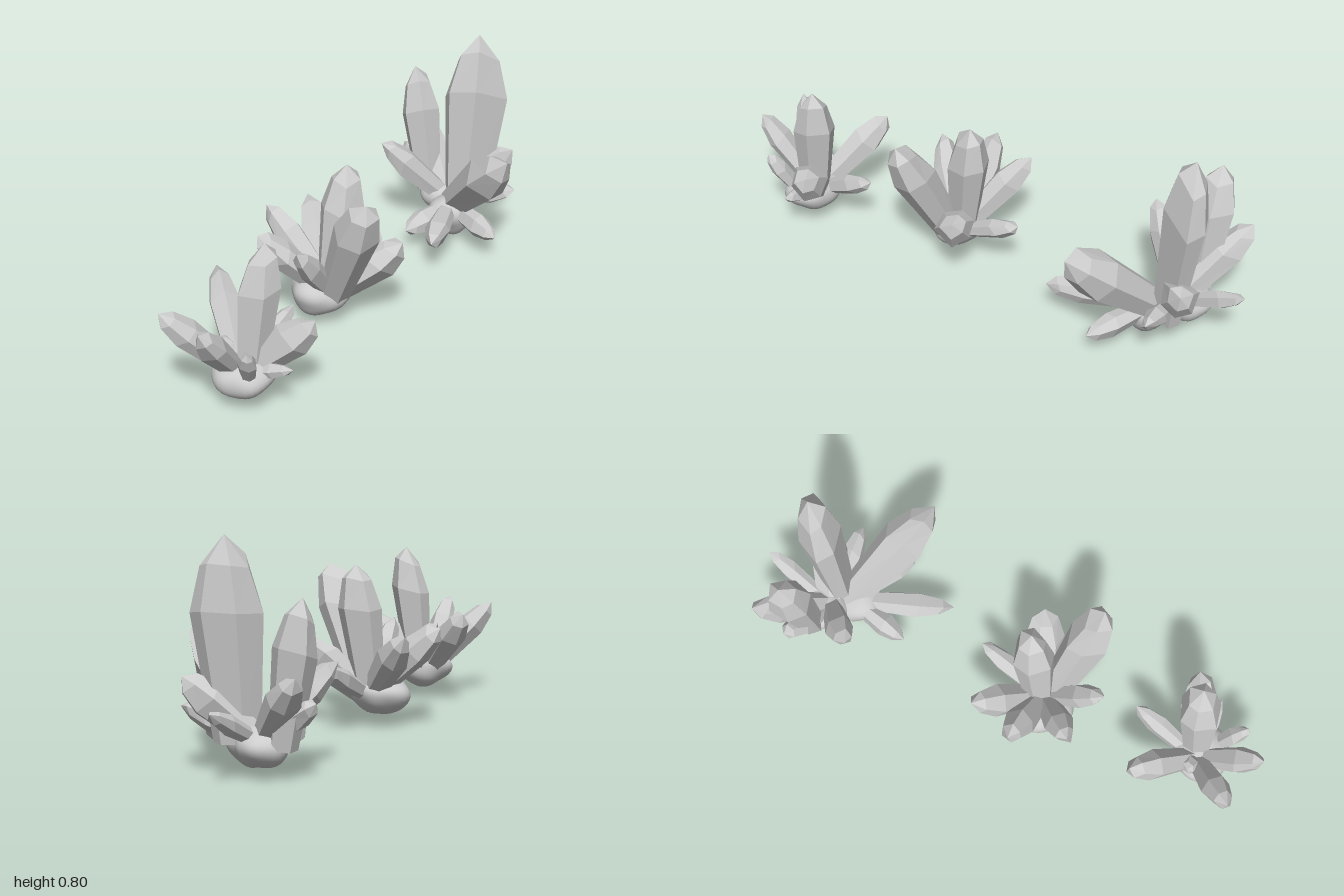
import * as THREE from 'three';

const rockMaterial = new THREE.MeshStandardMaterial({ color: 0xcccccc });
const crystalMaterial = new THREE.MeshStandardMaterial({ color: 0xcccccc, flatShading: true });

// Small seeded generator for facet irregularity
let seed = 7;
const jitter = (amount) => {
  seed = (seed * 16807) % 2147483647;
  return (seed / 2147483647 - 0.5) * 2 * amount;
};

// Six-sided crystal from root to tip: narrow foot, wide shoulder, pointed end
function crystal(root, tip, radius, depth = 1) {
  const axis = tip.clone().sub(root);
  const length = axis.length();
  const heights = [1, 0.88, 0.66, 0]; // top to bottom
  const widths = [0, 0.66, 1, 0.66];
  const geometry = new THREE.CylinderGeometry(0, 1, 1, 6, 3, true);
  const pos = geometry.attributes.position;
  const corners = Array.from({ length: 6 }, (_, i) => ({
    angle: i * Math.PI / 3 + jitter(0.16), reach: radius * (1 + jitter(0.1)), rise: jitter(0.05),
  }));
  for (let row = 0; row < 4; row++) {
    const rises = row === 1 || row === 2;
    for (let i = 0; i <= 6; i++) {
      const { angle, reach, rise } = corners[i % 6];
      pos.setXYZ(row * 7 + i,
        Math.sin(angle) * reach * widths[row],
        (heights[row] + (rises ? rise : 0)) * length,
        Math.cos(angle) * reach * widths[row] * depth);
    }
  }
  geometry.rotateY(0.7);
  geometry.computeVertexNormals();
  const mesh = new THREE.Mesh(geometry, crystalMaterial);
  mesh.name = 'crystal';
  mesh.position.copy(root);
  mesh.quaternion.setFromUnitVectors(new THREE.Vector3(0, 1, 0), axis.normalize());
  return mesh;
}

// Smooth lumpy rock, tapering towards the underside
function rock(x, y, z, width, height, phase) {
  const geometry = new THREE.SphereGeometry(1, 32, 20);
  const pos = geometry.attributes.position;
  const normal = geometry.attributes.normal;
  const lump = (p) => {
    const k = 1 + 0.06 * Math.sin(4 * p.x + phase) * Math.cos(3.5 * p.z - phase)
      + 0.05 * Math.sin(3 * p.y + 3 * p.z + phase);
    const side = k * (1 + 0.2 * p.y) * width;
    return new THREE.Vector3(p.x * side, p.y * k * height, p.z * side);
  };
  for (let i = 0; i < pos.count; i++) {
    const v = new THREE.Vector3().fromBufferAttribute(pos, i).normalize();
    const p = lump(v);
    // Surface normal from two nearby points, so the seam stays smooth
    const t = new THREE.Vector3(0.3, 1, 0.2).cross(v).normalize();
    const b = v.clone().cross(t);
    const du = lump(v.clone().addScaledVector(t, 0.02).normalize()).sub(p);
    const dv = lump(v.clone().addScaledVector(b, 0.02).normalize()).sub(p);
    const n = du.cross(dv).normalize();
    pos.setXYZ(i, p.x, p.y, p.z);
    normal.setXYZ(i, n.x, n.y, n.z);
  }
  const mesh = new THREE.Mesh(geometry, rockMaterial);
  mesh.name = 'rockBase';
  mesh.position.set(x, y, z);
  return mesh;
}

// Crystals shared by every cluster: tip offset x, height, offset z, radius
const spray = [
  [0.05, 0.25, -0.27, 0.038],
  [-0.215, 0.37, -0.195, 0.06],
  [0.24, 0.33, -0.1, 0.072],
  [-0.2, 0.37, 0.175, 0.053],
];
const frontCrystal = [0, 0.376, 0.235, 0.05];

// A cluster centred at x, z: the shared spray plus its own crystals,
// which may end with a root offset in x and z and a depth ratio
function cluster(name, x, z, extras) {
  const group = new THREE.Group();
  group.name = name;
  for (const [dx, y, dz, radius, footX = 0, footZ = 0, depth] of [...spray, ...extras]) {
    const root = new THREE.Vector3(x + footX, 0.11, z + footZ);
    group.add(crystal(root, new THREE.Vector3(x + dx, y, z + dz), radius, depth));
  }
  return group;
}

export function createModel() {
  seed = 7;
  const model = new THREE.Group();
  model.name = 'crystalClusters';

  // Front cluster: one upright crystal and small shoots
  const front = cluster('frontCluster', -0.055, 0.77, [
    frontCrystal,
    [0.08, 0.605, -0.05, 0.08, 0.04, -0.01],
    [0.12, 0.29, 0.14, 0.033, 0.06, 0.04],
    [0.22, 0.19, 0.01, 0.027],
    [-0.09, 0.22, -0.01, 0.034],
  ]);
  front.add(rock(-0.03, 0.11, 0.78, 0.108, 0.075, 0.6));

  // Middle cluster: two tall crystals and one leaning sideways
  const middle = cluster('middleCluster', -0.06, 0.155, [
    frontCrystal,
    [0.03, 0.607, -0.065, 0.08, -0.01, -0.01],
    [0.225, 0.58, 0.135, 0.08, 0.02, 0.02],
    [-0.285, 0.385, -0.02, 0.058],
  ]);
  middle.add(rock(-0.095, 0.11, 0.18, 0.108, 0.075, 2.1));

  // Back cluster: the tallest crystal, a broad leaning one and a low fan
  const back = cluster('backCluster', -0.05, -0.73, [
    [0.095, 0.8, -0.07, 0.125, 0.08, 0, 0.7],
    [-0.185, 0.61, -0.07, 0.078, -0.1, -0.04],
    [0.39, 0.465, 0.27, 0.09, 0.06, 0.05],
    [0.3, 0.21, 0, 0.04],
    [-0.23, 0.27, -0.07, 0.045],
    [0.165, 0.14, 0.44, 0.05, 0.05, 0.06],
    [-0.015, 0.09, 0.31, 0.046, 0.05, 0.06],
    [0.32, 0.1, 0.21, 0.048, 0.05, 0.06],
  ]);
  back.add(rock(0.015, 0.085, -0.65, 0.09, 0.08, 3.4));
  back.add(rock(-0.075, 0.105, -0.755, 0.094, 0.07, 5));

  model.add(front, middle, back);
  return model;
}
